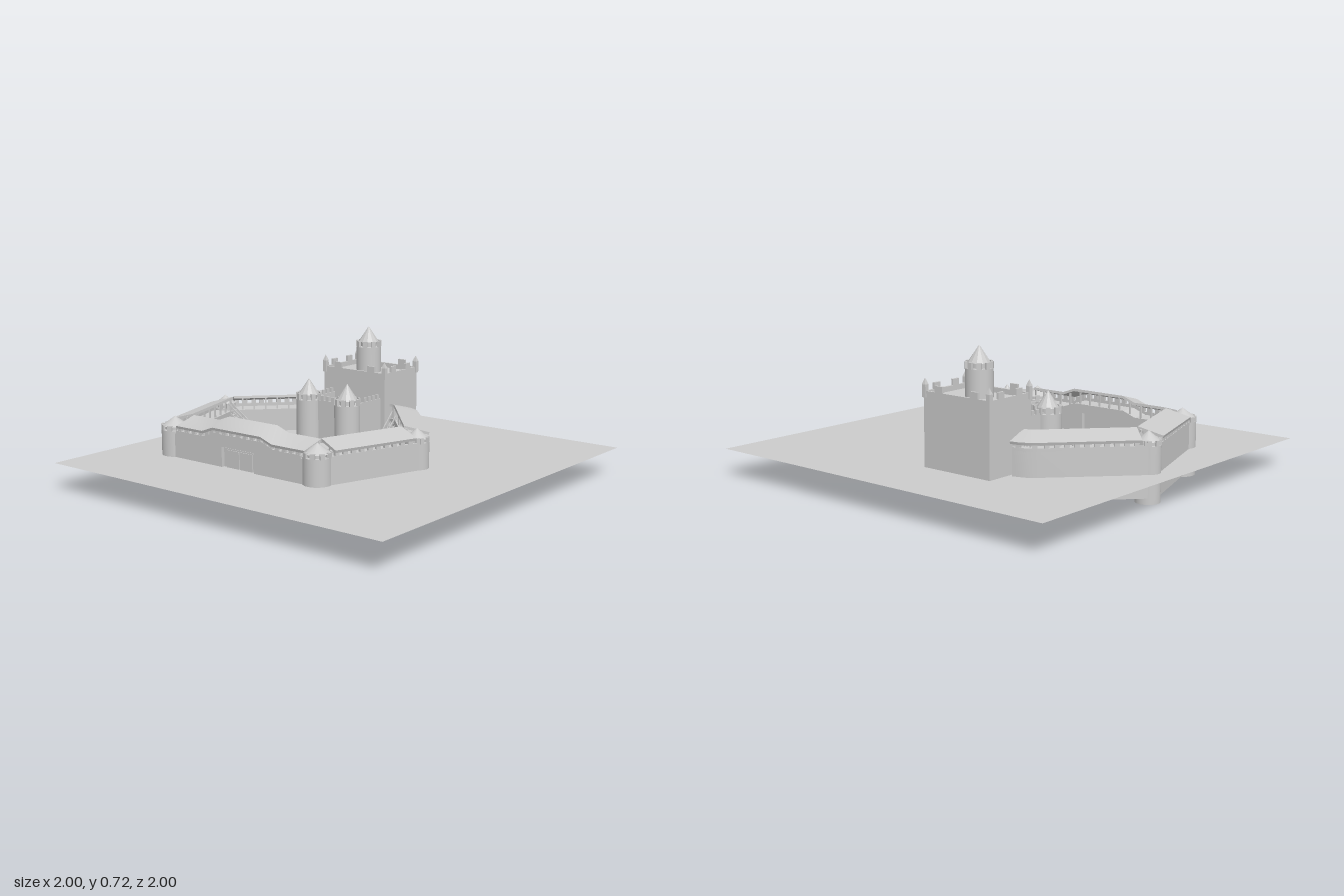
import * as THREE from 'three';
import { toCreasedNormals } from 'three/addons/utils/BufferGeometryUtils.js';

const stone = new THREE.MeshStandardMaterial({ color: 0xcccccc, side: THREE.DoubleSide });
const GROUND = 0.15;

function add(parent, name, geometry, x = 0, y = 0, z = 0, turn = 0) {
  const mesh = new THREE.Mesh(geometry, stone);
  mesh.name = name;
  mesh.position.set(x, y, z);
  mesh.rotation.y = turn;
  parent.add(mesh);
  return mesh;
}

function group(parent, name) {
  const g = new THREE.Group();
  g.name = name;
  parent.add(g);
  return g;
}

// Box given by its width, depth and its bottom and top heights
function block(parent, name, x, z, w, d, y0, y1, turn = 0) {
  return add(parent, name, new THREE.BoxGeometry(w, y1 - y0, d), x, (y0 + y1) / 2, z, turn);
}

// Sweep a closed profile of [outward offset, height] along a path of [x, z, lift]
function loft(path, profile) {
  const n = profile.length, pos = [], idx = [];
  path.forEach(([x, z, lift = 0], i) => {
    const dirs = [];
    if (i > 0) dirs.push([x - path[i - 1][0], z - path[i - 1][1]]);
    if (i < path.length - 1) dirs.push([path[i + 1][0] - x, path[i + 1][1] - z]);
    const t = new THREE.Vector2();
    dirs.forEach(d => t.add(new THREE.Vector2(...d).normalize()));
    t.normalize();
    profile.forEach(([o, y]) => pos.push(x - t.y * o, y + lift, z + t.x * o));
    if (i === 0) return;
    for (let k = 0; k < n; k++) {
      const a = (i - 1) * n + k, b = (i - 1) * n + (k + 1) % n;
      idx.push(a, a + n, b, b, a + n, b + n);
    }
  });
  const end = (path.length - 1) * n;
  for (let k = 1; k < n - 1; k++) idx.push(0, k, k + 1, end, end + k + 1, end + k);
  const g = new THREE.BufferGeometry();
  g.setAttribute('position', new THREE.Float32BufferAttribute(pos, 3));
  g.setIndex(idx);
  return toCreasedNormals(g, 0.6);
}

// Call place(x, z, lift, turn) at even steps along a path, offset outward
function along(path, step, offset, place) {
  for (let i = 1; i < path.length; i++) {
    const [ax, az, al = 0] = path[i - 1], [bx, bz, bl = 0] = path[i];
    const len = Math.hypot(bx - ax, bz - az), tx = (bx - ax) / len, tz = (bz - az) / len;
    const count = Math.max(1, Math.round(len / step));
    for (let k = 0; k < count; k++) {
      const f = (k + 0.5) / count;
      place(ax + (bx - ax) * f - tz * offset, az + (bz - az) * f + tx * offset,
        al + (bl - al) * f, Math.atan2(-tz, tx));
    }
  }
}

// Merlons, inner posts and the roof that slopes down outward
function wallTop(parent, path, roofPath) {
  add(parent, 'parapet', loft(path, [[0.04, 0.265], [0.055, 0.265], [0.055, 0.285], [0.04, 0.285]]));
  along(path, 0.045, 0.047, (x, z, l, turn) => block(parent, 'merlon', x, z, 0.024, 0.014, 0.28 + l, 0.306 + l, turn));
  along(path, 0.06, -0.045, (x, z, l, turn) => block(parent, 'post', x, z, 0.008, 0.008, 0.265 + l, 0.338 + l, turn));
  add(parent, 'wallRoof', loft(roofPath, [[-0.06, 0.334], [0.062, 0.3], [0.066, 0.313], [-0.058, 0.347]]));
}

function merlonRing(parent, x, z, r, y0, y1, count) {
  for (let i = 0; i < count; i++) {
    const a = (i + 0.5) / count * Math.PI * 2;
    block(parent, 'merlon', x + Math.sin(a) * r, z + Math.cos(a) * r, r * 0.36, 0.011, y0, y1, a);
  }
}

// Round tower with battlements and a cone
function roundTower(parent, name, x, z, r, y0, y1, merlonTop, coneBase, tip, coneR, sides) {
  const g = group(parent, name);
  add(g, 'shaft', new THREE.CylinderGeometry(r, r, y1 - y0, 28), x, (y0 + y1) / 2, z);
  merlonRing(g, x, z, r - 0.005, y1 - 0.002, merlonTop, 9);
  const cone = new THREE.ConeGeometry(coneR, tip - coneBase, sides);
  add(g, 'coneRoof', toCreasedNormals(cone, 0.3), x, (coneBase + tip) / 2, z);
  if (coneBase > y1) add(g, 'coneNeck', new THREE.CylinderGeometry(coneR * 0.75, coneR * 0.75, coneBase - y1, 16), x, (coneBase + y1) / 2, z);
}

// Open stair from the wall walk down to the yard
function stair(parent, ax, az, bx, bz) {
  const g = group(parent, 'stair');
  const len = Math.hypot(bx - ax, bz - az), drop = 0.27 - GROUND, slope = Math.hypot(len, drop);
  g.position.set((ax + bx) / 2, (0.27 + GROUND) / 2, (az + bz) / 2);
  g.rotation.y = Math.atan2(-(bz - az), bx - ax);
  for (const side of [-1, 1]) {
    for (const up of [0, 0.04]) {
      const rail = add(g, up ? 'handrail' : 'stringer', new THREE.BoxGeometry(slope, 0.008, 0.005), 0, up, side * 0.017);
      rail.rotation.z = -Math.atan2(drop, len);
    }
    for (const f of [-0.4, 0, 0.4]) add(g, 'railPost', new THREE.BoxGeometry(0.005, 0.04, 0.005), f * len, -f * drop + 0.02, side * 0.017);
  }
  for (let i = 0; i < 8; i++) {
    const f = (i + 0.5) / 8 - 0.5;
    add(g, 'tread', new THREE.BoxGeometry(0.014, 0.005, 0.034), f * len, -f * drop, 0);
  }
}

export function createModel() {
  const castle = new THREE.Group();
  castle.name = 'castle';

  // Thin ground sheet; the walls reach below it
  add(castle, 'ground', new THREE.PlaneGeometry(2, 2).rotateX(-Math.PI / 2), 0, GROUND, 0);

  // Front wall with the raised gate section
  const front = group(castle, 'frontWall');
  const outline = [[-0.67, 0.04], [-0.39, 0.04], [-0.36, 0.07], [-0.31, 0.07], [-0.31, 0.25], [-0.1, 0.25],
    [-0.1, 0.07], [-0.05, 0.07], [-0.02, 0.04], [0.25, 0.04], [0.25, 0.27], [0.02, 0.27], [-0.05, 0.296],
    [-0.36, 0.296], [-0.43, 0.27], [-0.67, 0.27]];
  const shape = new THREE.Shape(outline.map(p => new THREE.Vector2(...p)));
  add(front, 'wall', new THREE.ExtrudeGeometry(shape, { depth: 0.11, bevelEnabled: false }), 0, 0, 0.435);
  block(front, 'gate', -0.205, 0.492, 0.212, 0.07, 0.105, 0.252);
  block(front, 'gateLintel', -0.205, 0.53, 0.18, 0.012, 0.238, 0.246);
  for (const s of [-1, 1]) block(front, 'gateLeaf', -0.205 + s * 0.043, 0.53, 0.08, 0.008, 0.11, 0.236);
  const rise = [[-0.43, 0.49, 0], [-0.36, 0.49, 0.026], [-0.05, 0.49, 0.026], [0.02, 0.49, 0]];
  wallTop(front, [[-0.62, 0.49], ...rise, [0.19, 0.49]], [[-0.605, 0.49], ...rise, [0.22, 0.49]]);

  // Side and rear walls: the wall path, then the straight run of its roof
  const walls = {
    leftWall: [[[0.25, 0.49], [0.425, -0.03]], [[0.265, 0.44], [0.41, 0.01]]],
    rearLeftWall: [[[0.43, -0.03], [0.095, -0.405], [0.055, -0.44], [0, -0.455]],
      [[0.4, -0.065], [0.1, -0.4], [0.065, -0.435], [0.03, -0.45], [0, -0.455]]],
    rearRightWall: [[[-0.41, -0.455], [-0.465, -0.44], [-0.505, -0.405], [-0.85, -0.045]],
      [[-0.41, -0.455], [-0.44, -0.45], [-0.475, -0.435], [-0.51, -0.4], [-0.815, -0.075]]],
    rightWall: [[[-0.84, -0.04], [-0.67, 0.49]], [[-0.82, 0], [-0.685, 0.435]]],
  };
  for (const [name, [path, roof]] of Object.entries(walls)) {
    const g = group(castle, name);
    add(g, 'wall', loft(path, [[-0.055, 0.04], [0.055, 0.04], [0.055, 0.27], [-0.055, 0.27]]));
    wallTop(g, path, roof);
  }

  // Corner towers of the outer wall
  for (const [x, z, r] of [[-0.675, 0.495, 0.069], [0.247, 0.495, 0.069], [0.428, -0.035, 0.06], [-0.845, -0.045, 0.06]])
    roundTower(castle, 'cornerTower', x, z, r, 0.01, 0.28, 0.305, 0.298, 0.345, r * 0.95, 14);

  // Stairs to the wall walk
  stair(castle, -0.79, -0.02, -0.665, -0.06);
  stair(castle, 0.38, -0.01, 0.265, 0.05);
  stair(castle, -0.432, -0.42, -0.432, -0.305);
  stair(castle, 0.02, -0.42, 0.02, -0.3);

  // Keep: thin walls around a deck, with battlements and corner spikes
  const keep = group(castle, 'keep');
  const kx = -0.205, kz = -0.495, kw = 0.4, kd = 0.285;
  for (const s of [-1, 1]) {
    block(keep, 'keepWall', kx, kz + s * (kd / 2 - 0.006), kw, 0.012, 0.12, 0.51);
    block(keep, 'keepWall', kx + s * (kw / 2 - 0.006), kz, 0.012, kd, 0.12, 0.51);
    for (const t of [-1, 1]) {
      block(keep, 'merlon', kx + s * kw * 0.27, kz + t * (kd / 2 - 0.006), 0.045, 0.012, 0.5, 0.54);
      block(keep, 'merlon', kx + t * (kw / 2 - 0.006), kz + s * kd * 0.22, 0.012, 0.04, 0.5, 0.54);
      const cx = kx + s * (kw / 2 - 0.005), cz = kz + t * (kd / 2 - 0.005);
      block(keep, 'cornerPost', cx, cz, 0.022, 0.022, 0.48, 0.54);
      add(keep, 'cornerSpike', toCreasedNormals(new THREE.ConeGeometry(0.016, 0.03, 4), 0.3), cx, 0.555, cz, Math.PI / 4);
    }
  }
  block(keep, 'keepDeck', kx, kz, kw - 0.02, kd - 0.02, 0.475, 0.485);
  roundTower(keep, 'keepTurret', -0.21, -0.485, 0.066, 0.48, 0.62, 0.65, 0.645, 0.725, 0.054, 12);

  // Forecourt: two round towers joined to the keep by low curtain walls
  const court = group(castle, 'forecourt');
  for (const x of [-0.335, -0.082]) roundTower(court, 'courtTower', x, -0.14, 0.066, 0.135, 0.375, 0.408, 0.4, 0.482, 0.054, 12);
  for (const x of [-0.337, -0.035]) {
    block(court, 'courtWall', x, -0.26, 0.01, 0.19, 0.14, 0.38);
    for (let i = 0; i < 4; i++) block(court, 'merlon', x, -0.225 - i * 0.035, 0.01, 0.02, 0.375, 0.402);
  }
  block(court, 'courtFront', -0.21, -0.14, 0.16, 0.01, 0.14, 0.375);
  for (let i = 0; i < 3; i++) block(court, 'merlon', -0.245 + i * 0.035, -0.14, 0.02, 0.01, 0.37, 0.4);

  // Low ramp before the court gate
  block(court, 'rampEdge', -0.205, 0 - 0.01, 0.33, 0.008, 0.14, 0.158);
  const ramp = block(court, 'ramp', -0.205, -0.055, 0.32, 0.09, 0.148, 0.158);
  ramp.rotation.x = 0.08;

  return castle;
}
